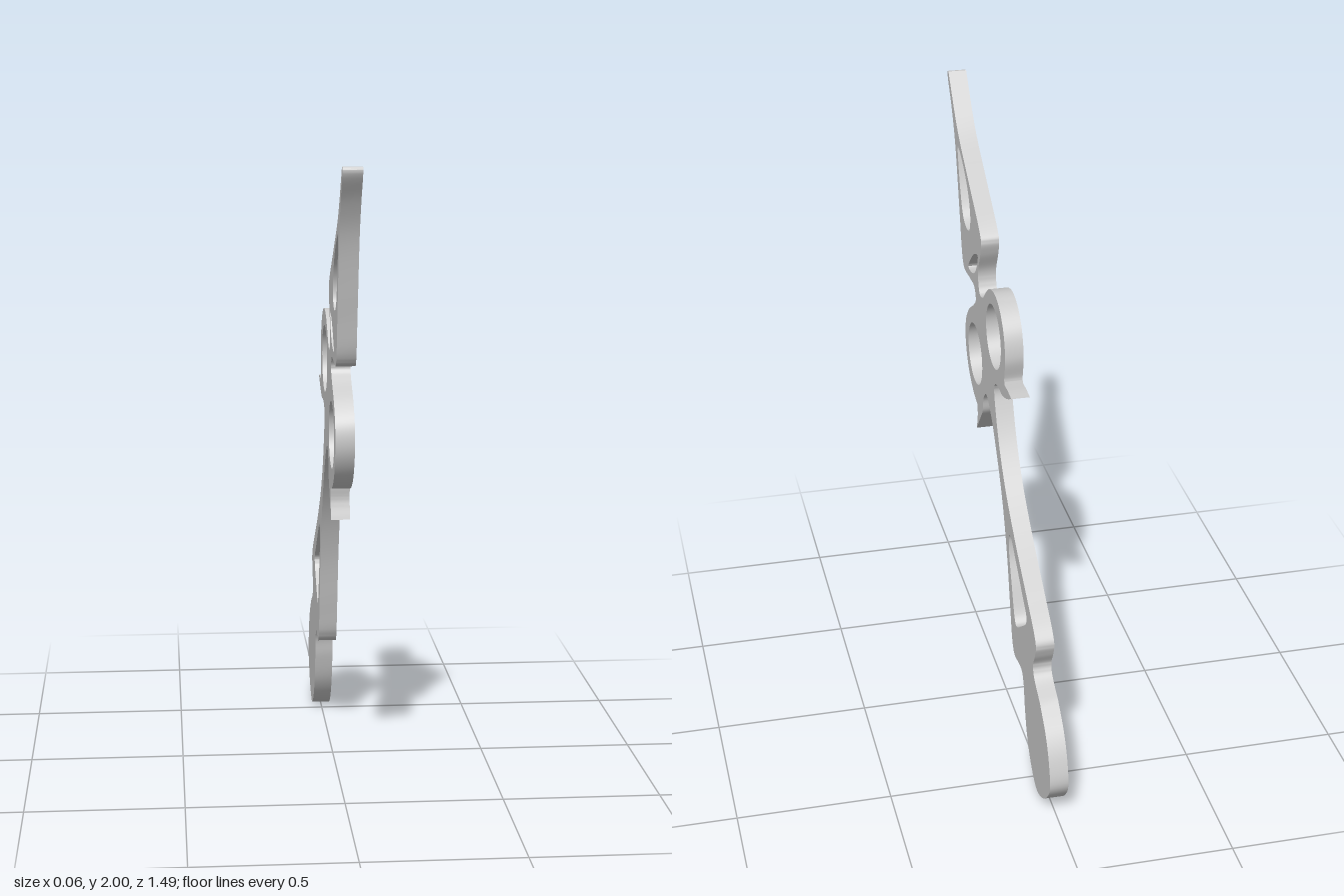
import * as THREE from 'three';
import { toCreasedNormals } from 'three/addons/utils/BufferGeometryUtils.js';

const THICKNESS = 0.06;

// Smooth curve through [u, y] points; u runs towards -z.
function curve(points, closed = false) {
  const c = new THREE.CatmullRomCurve3(points.map(([u, y]) => new THREE.Vector3(u, y, 0)), closed, 'centripetal');
  return c.getPoints(points.length * 5).map((p) => new THREE.Vector2(p.x, p.y));
}

// Joins smooth runs into a clockwise loop, with a sharp corner where two runs meet.
function outline(runs) {
  return runs.flatMap((run, i) => {
    const next = runs[(i + 1) % runs.length][0];
    return curve([...run, next]).slice(0, -1);
  });
}

// Holes run anticlockwise, against the outline, so that their walls face inwards.
function ellipse(u, y, ru, ry) {
  return new THREE.EllipseCurve(u, y, ru, ry, 0, Math.PI * 2).getPoints(48).slice(0, -1);
}

// Upper blade, from the tip down to the waist and round the upper ring
const bladeRight = [
  [-0.728, 2], [-0.59, 1.846], [-0.43, 1.737], [-0.258, 1.625], [-0.234, 1.597], [-0.245, 1.55],
  [-0.28, 1.475], [-0.28, 1.435], [-0.26, 1.402], [-0.217, 1.406], [-0.164, 1.45], [-0.117, 1.483],
  [-0.042, 1.502], [0.032, 1.482], [0.09, 1.425], [0.113, 1.342], [0.1, 1.265],
];
// Curled thorn on the upper ring, then the right side of the stem
const thornRightTop = [[0.104, 1.249], [0.149, 1.251]];
const stemRight = [[0.2, 1.248], [0.127, 1.212], [0.064, 1.194], [0.02, 1.196], [-0.032, 1.183],
  [-0.046, 1.153], [-0.03, 1.098], [0.027, 0.985], [0.117, 0.873], [0.26, 0.755], [0.42, 0.647],
  [0.525, 0.573], [0.546, 0.541], [0.534, 0.499], [0.509, 0.446], [0.522, 0.414]];
// Rounded tail paddle
const paddle = [[0.605, 0.366], [0.684, 0.297], [0.73, 0.218], [0.746, 0.133], [0.7, 0.064], [0.637, 0.018],
  [0.57, 0], [0.499, 0.037], [0.435, 0.117], [0.398, 0.218], [0.382, 0.29], [0.357, 0.323], [0.313, 0.324],
  [0.25, 0.318], [0.223, 0.345]];
// Left side of the stem and the lower ring's thorn
const stemLeft = [[0.19, 0.451], [0.135, 0.653], [0.068, 0.812], [-0.018, 0.945], [-0.1, 1.04],
  [-0.164, 1.077], [-0.207, 1.042], [-0.223, 0.985], [-0.26, 0.939]];
const thornLeft = [[-0.318, 0.87], [-0.302, 0.93]];
// Lower ring and the left edge of the blade
const ringLeft = [[-0.306, 0.968], [-0.36, 0.982], [-0.44, 1.034], [-0.488, 1.12], [-0.483, 1.199],
  [-0.43, 1.266], [-0.35, 1.32], [-0.32, 1.353], [-0.342, 1.388], [-0.403, 1.39], [-0.504, 1.387],
  [-0.53, 1.416], [-0.568, 1.554], [-0.634, 1.793], [-0.684, 1.894], [-0.743, 1.984], [-0.742, 1.997]];

// Cut-outs
const bladeHole = [[-0.587, 1.756], [-0.555, 1.65], [-0.51, 1.57], [-0.456, 1.549], [-0.41, 1.565],
  [-0.398, 1.618], [-0.43, 1.687], [-0.51, 1.758], [-0.59, 1.79]];
const slitHole = [[-0.414, 1.418], [-0.35, 1.434], [-0.305, 1.475], [-0.286, 1.524], [-0.34, 1.508],
  [-0.398, 1.463], [-0.435, 1.422]];
const stemHole = [[0.17, 0.668], [0.207, 0.568], [0.255, 0.458], [0.276, 0.446], [0.35, 0.493],
  [0.412, 0.545], [0.418, 0.57], [0.35, 0.626], [0.26, 0.695], [0.196, 0.738], [0.172, 0.732]];

export function createModel() {
  const shape = new THREE.Shape(outline([
    bladeRight, thornRightTop, stemRight, paddle, stemLeft, thornLeft, ringLeft,
  ]));
  const holes = [
    ellipse(-0.056, 1.342, 0.108, 0.107), // upper ring
    ellipse(-0.334, 1.145, 0.108, 0.105), // lower ring
    ...[bladeHole, slitHole, stemHole].map((h) => curve(h, true).slice(0, -1)),
  ];
  shape.holes = holes.map((h) => new THREE.Path(h));

  // Flat plate standing in the y-z plane
  let geometry = new THREE.ExtrudeGeometry(shape, { depth: THICKNESS, bevelEnabled: false });
  geometry.translate(0, 0, -THICKNESS / 2);
  geometry.rotateY(Math.PI / 2);
  geometry = toCreasedNormals(geometry, 0.6);

  const hand = new THREE.Mesh(geometry, new THREE.MeshStandardMaterial({ color: 0xcccccc }));
  hand.name = 'ornamentalClockHand';
  const group = new THREE.Group();
  group.name = 'clockHand';
  group.add(hand);
  return group;
}
